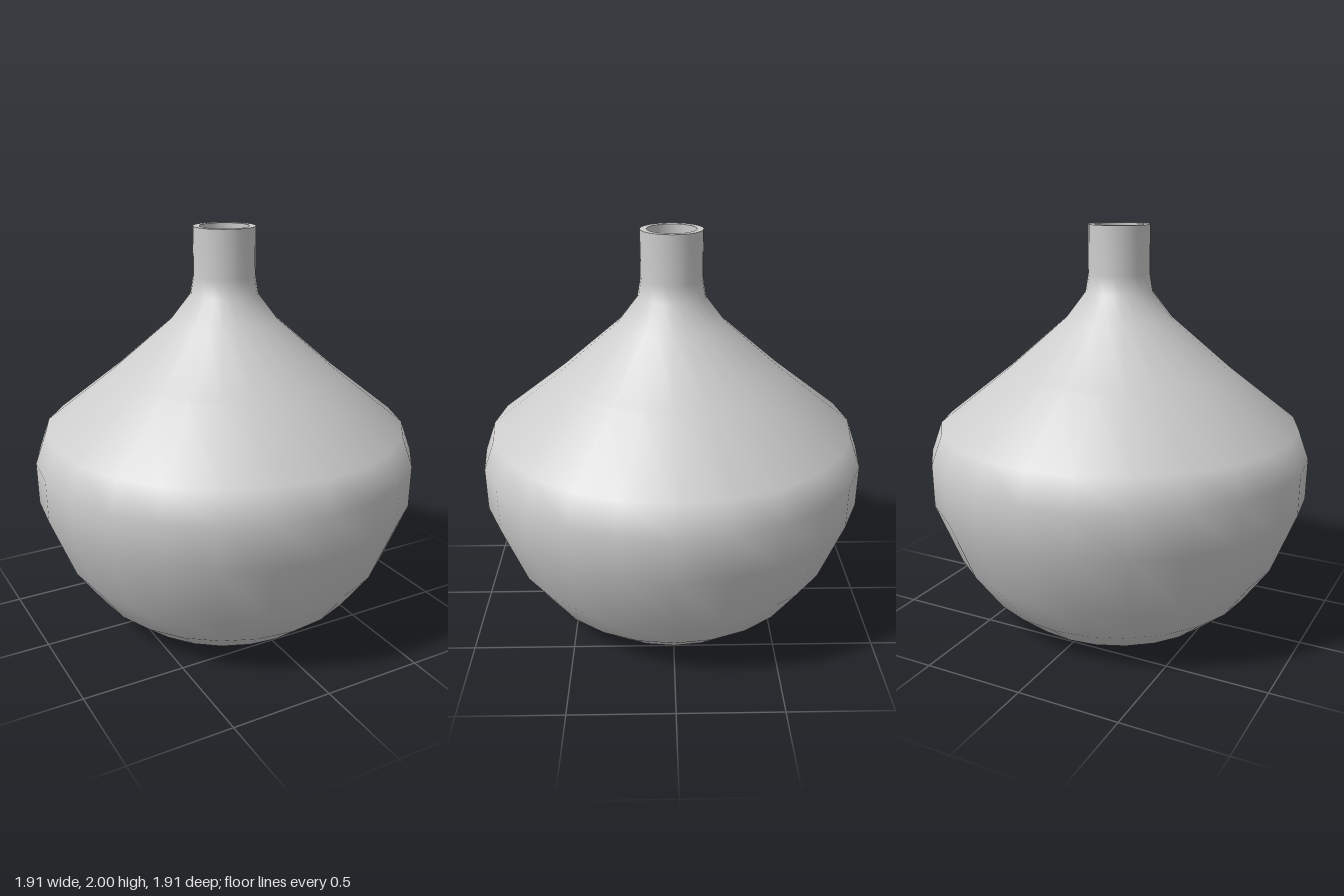
import * as THREE from 'three';

const SEGMENTS = 24;

export function createModel() {
  const vase = new THREE.Group();
  vase.name = 'vase';
  const clay = new THREE.MeshStandardMaterial({ color: 0xcccccc });
  clay.name = 'grey clay';

  const add = (name, geometry) => {
    const mesh = new THREE.Mesh(geometry, clay);
    mesh.name = name;
    vase.add(mesh);
    return mesh;
  };
  const lathe = (points) =>
    new THREE.LatheGeometry(points.map(([r, y]) => new THREE.Vector2(r, y)), SEGMENTS);

  // Outer wall from foot to lip
  const profile = [
    [0.47, 0.004], [0.54, 0.03], [0.69, 0.155], [0.83, 0.35], [0.953, 0.66], [0.957, 0.87],
    [0.903, 1.02], [0.56, 1.29], [0.262, 1.55], [0.167, 1.675], [0.152, 1.765], [0.152, 2],
  ];
  add('outerWall', lathe(profile));

  // Flat foot, facing down
  add('foot', lathe([[0, 0], [0.455, 0], [0.47, 0.004]]));

  // Flat rim, facing up
  add('rim', lathe([[0.152, 2], [0.12, 2]]));

  // Hollow inside, wound from lip to floor so that it faces inwards
  const inner = profile.slice(1).reverse().map(([r, y]) => [r - 0.032, y]);
  inner[0] = [0.12, 2];
  add('innerWall', lathe(inner));
  add('innerFloor', lathe([[0.508, 0.03], [0, 0.03]]));

  return vase;
}
